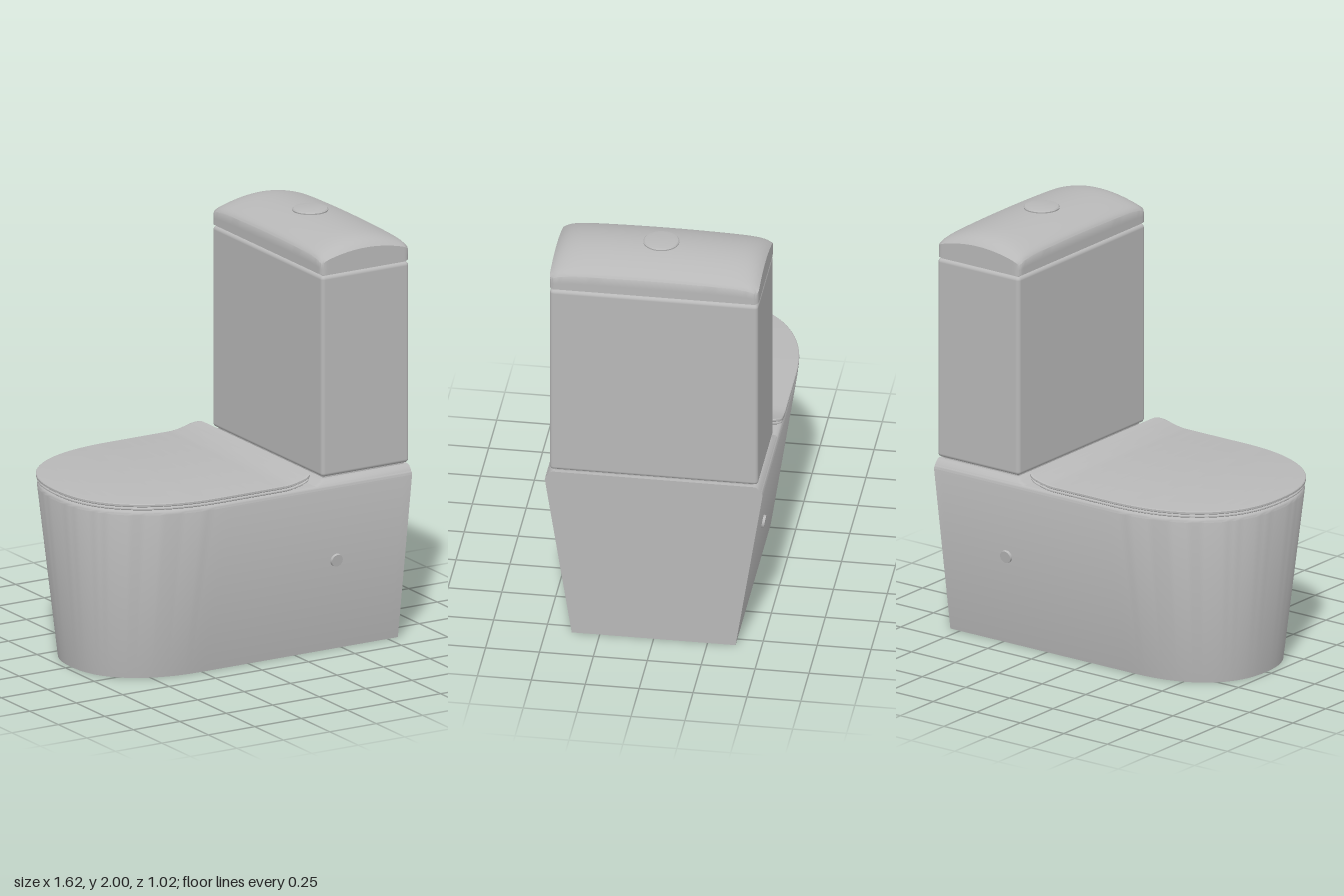
import * as THREE from 'three';
import { toCreasedNormals } from 'three/addons/utils/BufferGeometryUtils.js';
import { RoundedBoxGeometry } from 'three/addons/geometries/RoundedBoxGeometry.js';

const ceramic = new THREE.MeshStandardMaterial({ color: 0xb8b8b8 });
ceramic.name = 'ceramicGrey';

// Half of a D-shaped outline in [x, z]: round nose at x0, straight side, back at x1 with corner radius r
function halfOutline(x0, x1, half, xc, power = 2.3, r = 0) {
  const pts = [];
  const e = 2 / power;
  for (let i = 0; i <= 28; i++) {
    const t = (i / 28) * Math.PI / 2;
    pts.push([xc - (xc - x0) * Math.max(0, Math.cos(t)) ** e, half * Math.sin(t) ** e]);
  }
  const end = x1 - r;
  for (let i = 1; i <= 24; i++) pts.push([xc + (end - xc) * i / 24, half]);
  if (r > 0) {
    for (let i = 1; i <= 8; i++) {
      const t = (i / 8) * Math.PI / 2;
      pts.push([end + r * Math.sin(t), half - r + r * Math.cos(t)]);
    }
  }
  return pts;
}

// Closed solid from stacked, mirrored half outlines; lift(x) bends it upward
function stack(layers, lift = () => 0) {
  const pos = [];
  const v = (p, y, s = 1) => [p[0], y + lift(p[0]), s * p[1]];
  const quad = (a, b, c, d) => pos.push(...a, ...b, ...c, ...a, ...c, ...d);
  const rings = layers.map(([y, half]) => [
    ...half.map(p => v(p, y)),
    ...half.slice(1).reverse().map(p => v(p, y, -1)),
  ]);
  for (let j = 0; j + 1 < rings.length; j++) {
    const n = rings[j].length;
    for (let i = 0; i < n; i++) {
      const k = (i + 1) % n;
      quad(rings[j][i], rings[j][k], rings[j + 1][k], rings[j + 1][i]);
    }
  }
  const cap = ([y, half], up) => {
    for (let i = 0; i + 1 < half.length; i++) {
      const c = [v(half[i], y), v(half[i + 1], y), v(half[i + 1], y, -1), v(half[i], y, -1)];
      if (i === 0) pos.push(...(up ? [c[0], c[1], c[2]] : [c[0], c[2], c[1]]).flat());
      else if (up) quad(...c);
      else quad(c[3], c[2], c[1], c[0]);
    }
  };
  cap(layers[0], false);
  cap(layers[layers.length - 1], true);
  const g = new THREE.BufferGeometry();
  g.setAttribute('position', new THREE.Float32BufferAttribute(pos, 3));
  return toCreasedNormals(g, 0.6);
}

// Domed cistern lid: a box grid with rounded corners and an arched top
function cisternLidGeometry(hx, hz, y0) {
  const g = new THREE.BoxGeometry(2, 1, 2, 32, 2, 40);
  const p = g.attributes.position;
  const r = 0.025;
  for (let i = 0; i < p.count; i++) {
    let x = hx * Math.sin(p.getX(i) * Math.PI / 2);
    let z = hz * Math.sin(p.getZ(i) * Math.PI / 2);
    const u = Math.abs(x) / hx, w = Math.abs(z) / hz;
    const top = 1.925 + 0.06 * (1 - u * u) * (1 - 0.35 * w ** 8)
      - 0.012 * w * w - 0.022 * w ** 14 - 0.012 * u ** 24;
    const cx = THREE.MathUtils.clamp(x, r - hx, hx - r);
    const cz = THREE.MathUtils.clamp(z, r - hz, hz - r);
    const dx = x - cx, dz = z - cz, len = Math.hypot(dx, dz);
    if (len > 1e-9) {
      const m = Math.max(Math.abs(dx), Math.abs(dz)) / len;
      x = cx + dx * m;
      z = cz + dz * m;
    }
    p.setXYZ(i, x, y0 + (p.getY(i) + 0.5) * (top - y0), z);
  }
  return toCreasedNormals(g, 0.6);
}

export function createModel() {
  const group = new THREE.Group();
  const add = (name, geometry, x = 0, y = 0, z = 0) => {
    const mesh = new THREE.Mesh(geometry, ceramic);
    mesh.name = name;
    mesh.position.set(x, y, z);
    group.add(mesh);
    return mesh;
  };

  // Tapered pan with a softened top rim
  const rim = inset => halfOutline(-0.805 + inset, 0.805, 0.505 - inset, -0.2);
  add('pan', stack([
    [0, halfOutline(-0.72, 0.805, 0.38, -0.24)],
    [0.81, rim(0)],
    [0.82, rim(0.003)],
    [0.827, rim(0.009)],
    [0.83, rim(0.02)],
  ]));

  // Raised shelf that flares out into the pan
  const shelf = (x0, half) => {
    const pts = [[x0, 0], [x0, half - 0.02], [x0 + 0.006, half - 0.006], [x0 + 0.02, half]];
    return [...pts, [0.805, half]];
  };
  add('cisternShelf', stack([
    [0.82, shelf(0.27, 0.5)],
    [0.832, shelf(0.295, 0.494)],
    [0.84, shelf(0.325, 0.487)],
    [0.85, shelf(0.335, 0.478)],
    [0.854, shelf(0.345, 0.468)],
  ]));

  // Seat and cover, both curling up at the back
  const curl = x => 0.036 * Math.max(0, (x - 0.12) / 0.155) ** 1.7;
  const slab = (y0, y1, grow, x1) => {
    const o = inset => halfOutline(-0.81 - grow + inset, x1 - inset, 0.51 + grow - inset, -0.2, 2.3, 0.05);
    return stack([
      [y0, o(0.006)], [y0 + 0.004, o(0)], [y1 - 0.004, o(0)], [y1 - 0.001, o(0.003)], [y1, o(0.009)],
    ], curl);
  };
  add('seat', slab(0.834, 0.847, -0.004, 0.27));
  add('seatSpacer', stack([
    [0.828, halfOutline(-0.785, 0.16, 0.485, -0.2)],
    [0.855, halfOutline(-0.785, 0.16, 0.485, -0.2)],
  ]));
  add('cover', slab(0.85, 0.867, 0, 0.275));

  // Cistern body with recessed joints below and above
  add('cisternGasket', new THREE.BoxGeometry(0.43, 0.03, 0.92), 0.57, 0.86, 0);
  add('cistern', new RoundedBoxGeometry(0.47, 0.962, 0.966, 4, 0.018), 0.57, 1.344, 0);
  add('lidJoint', new THREE.BoxGeometry(0.445, 0.03, 0.94), 0.57, 1.83, 0);
  add('cisternLid', cisternLidGeometry(0.236, 0.485, 1.833), 0.569, 0, 0);

  // Flush button
  const profile = [[0, 1.965], [0.066, 1.965], [0.066, 1.982], [0.082, 1.985], [0.083, 1.991],
    [0.078, 1.996], [0.06, 1.999], [0, 2]].map(([a, b]) => new THREE.Vector2(a, b));
  add('flushButton', toCreasedNormals(new THREE.LatheGeometry(profile, 40), 0.6), 0.567, 0, 0);

  // Fixing caps on both sloping sides
  const slope = Math.atan2(0.125, 0.81);
  for (const side of [1, -1]) {
    const cap = add(side > 0 ? 'leftFixingCap' : 'rightFixingCap',
      new THREE.CylinderGeometry(0.029, 0.033, 0.024, 28), 0.43, 0.447, side * 0.449);
    cap.rotation.x = side * (Math.PI / 2 + slope);
  }
  return group;
}
